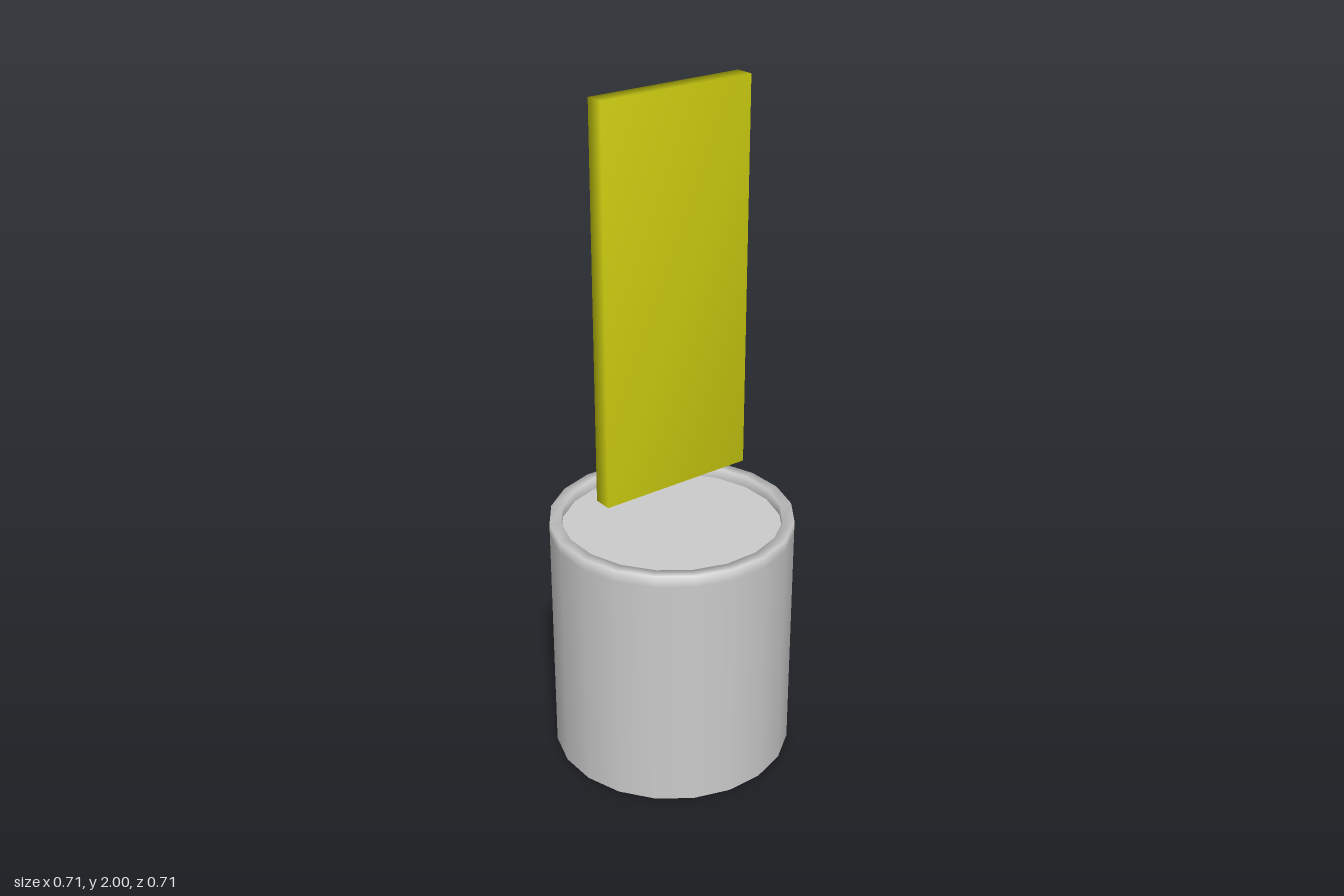
import * as THREE from 'three';
import { mergeVertices } from 'three/addons/utils/BufferGeometryUtils.js';

const SIDES = 20;

export function createModel() {
  const group = new THREE.Group();
  const grey = new THREE.MeshStandardMaterial({ color: 0xcccccc, side: THREE.DoubleSide });
  const yellow = new THREE.MeshStandardMaterial({ color: 0xcccc10 });

  const add = (name, geometry, material, y) => {
    const mesh = new THREE.Mesh(geometry, material);
    mesh.name = name;
    mesh.position.y = y;
    group.add(mesh);
    return mesh;
  };

  // Base wall: open at the bottom
  add('baseWall', new THREE.CylinderGeometry(0.356, 0.356, 0.715, SIDES, 1, true), grey, 0.3575);

  // Raised rim: up the outside, across the top, down the inside, softly shaded
  const profile = [[0.356, 0], [0.356, 0.035], [0.322, 0.035], [0.322, 0]]
    .map(([r, y]) => new THREE.Vector2(r, y));
  add('rim', new THREE.LatheGeometry(profile, SIDES), grey, 0.715);

  // Recessed lid inside the rim
  const lid = new THREE.CircleGeometry(0.322, SIDES);
  lid.rotateX(-Math.PI / 2);
  add('lid', lid, grey, 0.715);

  // Floating upright blade, set diagonally, with normals shared across its corners
  let slab = new THREE.BoxGeometry(0.484, 1.14, 0.055);
  slab.deleteAttribute('normal');
  slab.deleteAttribute('uv');
  slab = mergeVertices(slab);
  slab.computeVertexNormals();
  add('blade', slab, yellow, 1.43).rotation.y = Math.PI / 4;

  return group;
}
